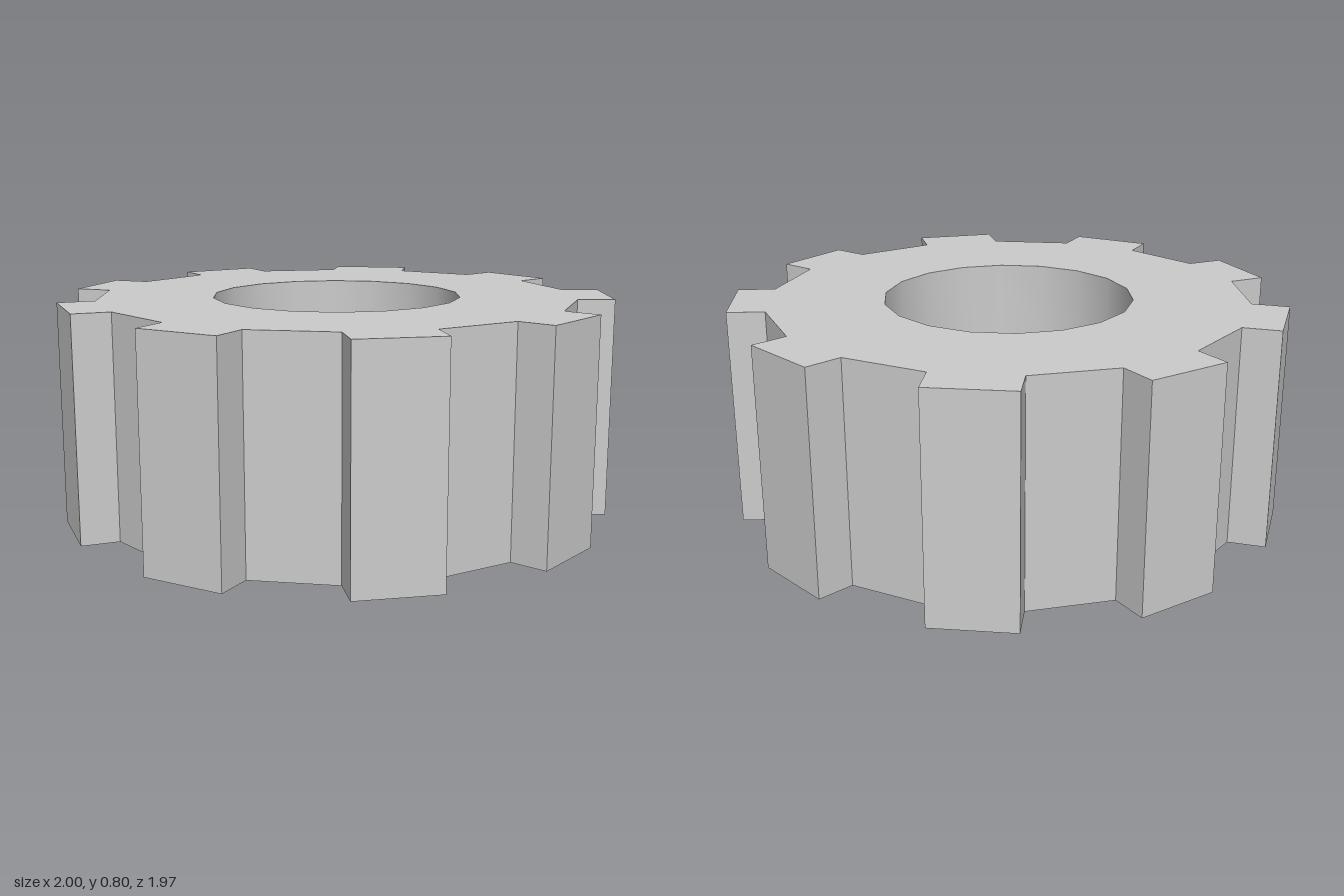
import * as THREE from 'three';
import { toCreasedNormals } from 'three/addons/utils/BufferGeometryUtils.js';

const TEETH = 9;
const HEIGHT = 0.797;
const TIP_RADIUS = 1.0;
const ROOT_RADIUS = 0.867;
const BORE_RADIUS = 0.45;
const HALF_TOOTH = 0.149;

export function createModel() {
  const model = new THREE.Group();
  model.name = 'gearWheel';

  // Angle runs counter-clockwise from the tooth at the back
  const polar = (r, a) => new THREE.Vector2(-r * Math.sin(a), r * Math.cos(a));

  // Toothed outline: each tooth has parallel flanks, with straight gaps between
  const tipAngle = Math.asin(HALF_TOOTH / TIP_RADIUS);
  const rootAngle = Math.asin(HALF_TOOTH / ROOT_RADIUS);
  const outline = [];
  for (let i = 0; i < TEETH; i++) {
    const a = (i / TEETH) * Math.PI * 2;
    outline.push(
      polar(ROOT_RADIUS, a - rootAngle),
      polar(TIP_RADIUS, a - tipAngle),
      polar(TIP_RADIUS, a + tipAngle),
      polar(ROOT_RADIUS, a + rootAngle)
    );
  }
  const shape = new THREE.Shape(outline);

  // Eighteen-sided bore with a vertex on the x axis, wound against the outline
  const bore = [];
  for (let i = 0; i < 18; i++) bore.push(polar(BORE_RADIUS, Math.PI / 2 - (i / 18) * Math.PI * 2));
  shape.holes.push(new THREE.Path(bore));

  // Extrude upwards; the bore wall is smooth, the tooth edges stay sharp
  let geometry = new THREE.ExtrudeGeometry(shape, { depth: HEIGHT, bevelEnabled: false });
  geometry.rotateX(-Math.PI / 2);
  geometry.computeBoundingBox();
  const { min, max } = geometry.boundingBox;
  geometry.translate(0, 0, -(min.z + max.z) / 2);
  geometry = toCreasedNormals(geometry, Math.PI / 6);

  const gear = new THREE.Mesh(geometry, new THREE.MeshStandardMaterial({ color: 0xcccccc }));
  gear.name = 'toothedRing';
  model.add(gear);
  return model;
}
